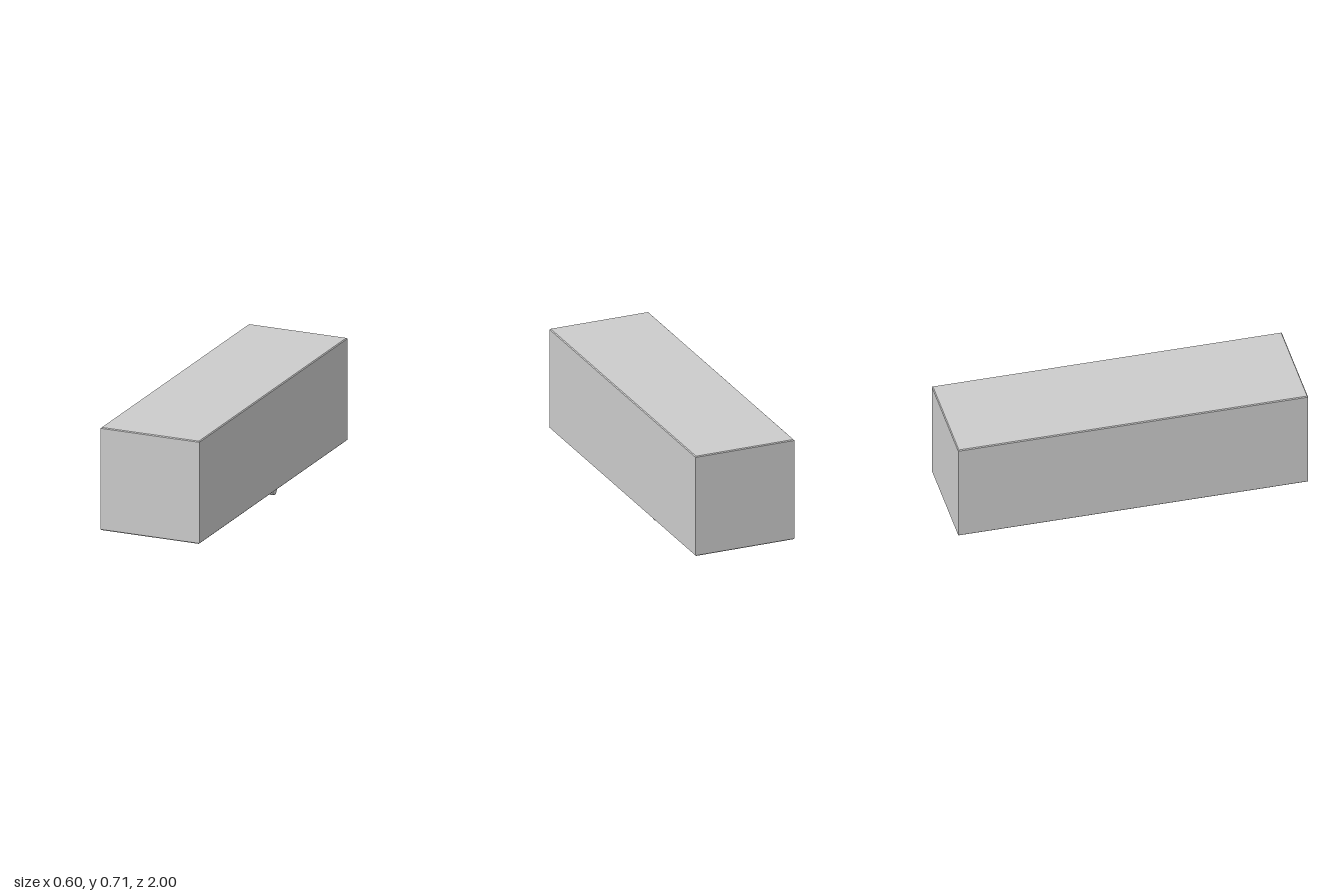
import * as THREE from 'three';
import { toCreasedNormals } from 'three/addons/utils/BufferGeometryUtils.js';

const material = new THREE.MeshStandardMaterial({ color: 0xcccccc });
const HALF_X = 0.3, HALF_Z = 1, BASE = 0.107, TOP = 0.707;

function part(name, geometry, parent, x = 0, y = 0, z = 0) {
  const mesh = new THREE.Mesh(geometry, material);
  mesh.name = name;
  mesh.position.set(x, y, z);
  parent.add(mesh);
  return mesh;
}

// Turned part: profile of [radius, height], listed from bottom to top
function turned(profile, segments = 48) {
  const points = profile.map(([r, y]) => new THREE.Vector2(r, y));
  return toCreasedNormals(new THREE.LatheGeometry(points, segments), 0.5);
}

// Joins concentric rectangles of [inset, height], listed from top to bottom
function rectangularLoft(rings) {
  const corners = [[1, 1], [1, -1], [-1, -1], [-1, 1]];
  const positions = [], indices = [];
  for (const [inset, y] of rings) {
    for (const [sx, sz] of corners) positions.push(sx * (HALF_X - inset), y, sz * (HALF_Z - inset));
  }
  for (let i = 0; i < rings.length - 1; i++) {
    for (let j = 0; j < 4; j++) {
      const a = i * 4 + j, d = i * 4 + (j + 1) % 4;
      indices.push(a, a + 4, d + 4, a, d + 4, d);
    }
  }
  let geometry = new THREE.BufferGeometry();
  geometry.setAttribute('position', new THREE.Float32BufferAttribute(positions, 3));
  geometry.setIndex(indices);
  geometry = geometry.toNonIndexed();
  geometry.computeVertexNormals();
  return geometry;
}

export function createModel() {
  const safe = new THREE.Group();
  safe.name = 'safe';

  // Cabinet lying on its back edge-down, with the door set in a groove underneath
  const bevel = 0.005, doorInset = 0.045, gap = 0.008;
  part('cabinetAndDoor', rectangularLoft([
    [HALF_X, TOP], [bevel, TOP], [0, TOP - bevel],
    [0, BASE + bevel], [bevel, BASE],
    [doorInset - gap, BASE], [doorInset - gap, BASE + 0.02],
    [doorInset, BASE + 0.02], [doorInset, BASE],
    [HALF_X, BASE],
  ]), safe);

  // Hinges along the left edge of the door
  for (const z of [0.65, 0, -0.7]) {
    part('hinge', new THREE.BoxGeometry(0.09, 0.014, 0.066), safe, 0.236, 0.105, z);
  }

  // Combination dial: flared collar and small knob
  const dial = new THREE.Group();
  dial.name = 'dial';
  dial.position.set(0, 0, 0.262);
  safe.add(dial);
  part('dialCollar', turned([[0, 0.094], [0.031, 0.094], [0.048, 0.099], [0.067, 0.104], [0.067, BASE + 0.001]]), dial);
  part('dialKnob', turned([[0, 0.072], [0.023, 0.072], [0.026, 0.075], [0.026, 0.096]]), dial);

  // Three-spoke handle
  const handle = new THREE.Group();
  handle.name = 'handle';
  handle.position.set(-0.005, 0, -0.225);
  safe.add(handle);
  part('handleFlange', turned([[0, 0.101], [0.113, 0.101], [0.113, BASE + 0.001]]), handle);
  part('handleBase', turned([[0, 0.078], [0.076, 0.078], [0.076, 0.102]]), handle);
  part('handleHub', turned([[0, 0], [0.036, 0], [0.04, 0.004], [0.04, 0.08]]), handle);

  // Spokes widen toward their rounded ends
  const spoke = turned([[0.02, 0], [0.0205, 0.04], [0.0265, 0.195], [0.0265, 0.209], [0.0255, 0.213], [0.022, 0.215], [0, 0.215]], 32);
  spoke.rotateZ(-Math.PI / 2);
  for (let i = 0; i < 3; i++) {
    part('handleSpoke', spoke, handle, 0, 0.037, 0).rotation.y = i * Math.PI * 2 / 3;
  }

  return safe;
}
